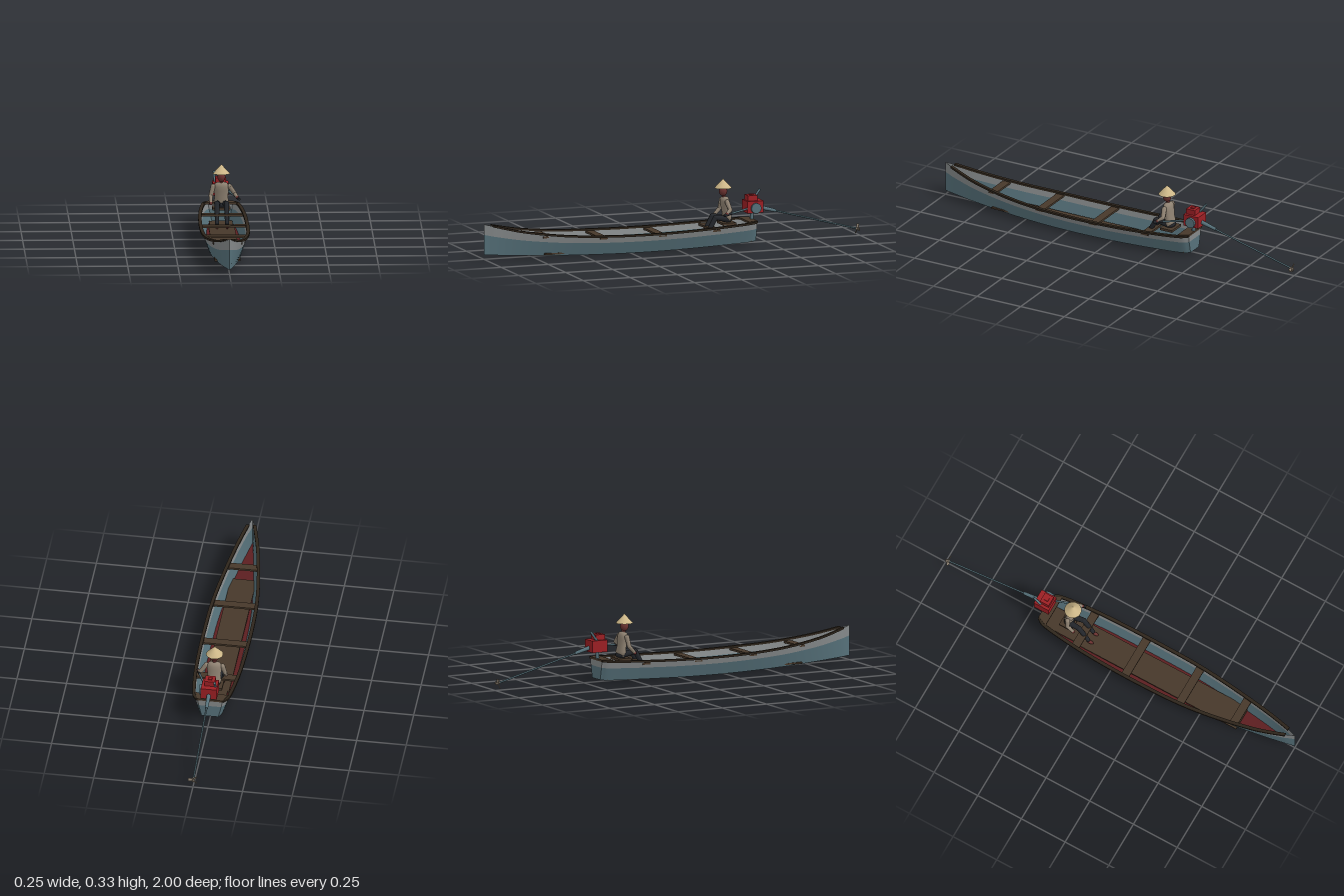
import * as THREE from 'three';

const mat = (name, color, side = THREE.FrontSide) => {
  const m = new THREE.MeshStandardMaterial({ color, side });
  m.name = name;
  return m;
};
const V = (x, y, z) => new THREE.Vector3(x, y, z);

export function createModel() {
  const D = THREE.DoubleSide;
  const steelBlue = mat('steelBlue', 0x56717a, D);
  const paleGrey = mat('paleGrey', 0x85898a, D);
  const bottomRed = mat('bottomRed', 0x5c1e20, D);
  const engineRed = mat('engineRed', 0x9c1f24);
  const wood = mat('wood', 0x47382a);
  const darkWood = mat('darkWood', 0x2e251b, D);
  const skin = mat('skin', 0x6a3230);
  const taupe = mat('taupe', 0x8f8272, D);
  const charcoal = mat('charcoal', 0x23262b);
  const straw = mat('straw', 0xcdb788, D);

  const model = new THREE.Group();
  model.name = 'longTailBoat';
  const group = (name) => {
    const g = new THREE.Group();
    g.name = name;
    model.add(g);
    return g;
  };
  const add = (parent, name, geo, material, x = 0, y = 0, z = 0) => {
    const m = new THREE.Mesh(geo, material);
    m.name = name;
    m.position.set(x, y, z);
    parent.add(m);
    return m;
  };
  const box = (parent, name, w, h, d, material, x, y, z) =>
    add(parent, name, new THREE.BoxGeometry(w, h, d), material, x, y, z);
  // tapered round bar from a to b
  const rod = (parent, name, a, b, ra, rb, material, sides = 12) => {
    const dir = b.clone().sub(a);
    const m = add(parent, name, new THREE.CylinderGeometry(rb, ra, dir.length(), sides), material);
    m.position.copy(a).add(b).multiplyScalar(0.5);
    m.quaternion.setFromUnitVectors(V(0, 1, 0), dir.normalize());
    return m;
  };
  const ball = (parent, name, r, p, material, sx = 1, sy = 1, sz = 1) =>
    add(parent, name, new THREE.SphereGeometry(r, 16, 12), material, p.x, p.y, p.z).scale.set(sx, sy, sz);
  // ruled surface between two rows of points
  const strip = (parent, name, a, b, material) => {
    const pos = [], idx = [];
    a.forEach((p, i) => {
      pos.push(...p.toArray(), ...b[i].toArray());
      if (i) {
        const k = 2 * i;
        idx.push(k - 2, k, k - 1, k - 1, k, k + 1);
      }
    });
    const g = new THREE.BufferGeometry();
    g.setAttribute('position', new THREE.Float32BufferAttribute(pos, 3));
    g.setIndex(idx);
    g.computeVertexNormals();
    return add(parent, name, g, material);
  };

  // Hull stations: z, top half width, bottom half width, top y, bottom y
  const stations = [
    [-0.43, 0.062, 0.042, 0.113, 0.016], [-0.38, 0.086, 0.06, 0.11, 0.013],
    [-0.2, 0.106, 0.076, 0.102, 0.008], [0, 0.114, 0.083, 0.095, 0.003],
    [0.2, 0.115, 0.084, 0.093, 0.001], [0.4, 0.109, 0.079, 0.097, 0.003],
    [0.6, 0.088, 0.062, 0.108, 0.007], [0.8, 0.055, 0.036, 0.133, 0.014],
    [0.94, 0.02, 0.012, 0.163, 0.02], [1, 0.0005, 0.0005, 0.178, 0.024]];
  const edge = (w, h) => new THREE.CatmullRomCurve3(
    stations.map((s) => V(s[w], s[h], s[0])), false, 'catmullrom').getPoints(54);
  const top = edge(1, 3), bottom = edge(2, 4);
  const mid = bottom.map((p, i) => p.clone().lerp(top[i], 0.65).add(V(i < 50 ? 0.002 : 0, 0, 0)));
  const flip = (row, s) => row.map((p) => V(p.x * s, p.y, p.z));

  const hull = group('hull');
  for (const s of [1, -1]) {
    strip(hull, 'lowerSide', flip(bottom, s), flip(mid, s), steelBlue);
    strip(hull, 'upperSide', flip(mid, s), flip(top, s), paleGrey);
    // gunwale: rectangular section swept along the top edge
    const rail = top.filter((p) => p.z < 0.955);
    const corners = [[-0.007, -0.004], [0.01, -0.004], [0.01, 0.006], [-0.007, 0.006]].map(
      ([dx, dy]) => rail.map((p) => V(s * Math.max(p.x + dx, 0.002), p.y + dy, p.z)));
    corners.forEach((c, i) => strip(hull, 'gunwale', c, corners[(i + 1) % 4], darkWood));
    for (const k of [0, rail.length - 1]) {
      strip(hull, 'gunwaleEnd', [corners[0][k], corners[3][k]], [corners[1][k], corners[2][k]], darkWood);
    }
  }
  strip(hull, 'bottom', flip(bottom, -1), bottom, bottomRed);
  const end = (a, b) => [flip([a[0], b[0]], -1), [a[0], b[0]]];
  strip(hull, 'transomLower', ...end(bottom, mid), steelBlue);
  strip(hull, 'transomUpper', ...end(mid, top), paleGrey);

  // Floor boards, thwarts and stern deck
  const fittings = group('fittings');
  box(fittings, 'floor', 0.13, 0.008, 0.92, wood, 0, 0.018, 0.24);
  box(fittings, 'sternFloor', 0.116, 0.008, 0.18, wood, 0, 0.02, -0.31);
  for (const [z, w, y] of [[0.69, 0.148, 0.106], [0.4, 0.216, 0.088], [0.09, 0.226, 0.084], [-0.2, 0.21, 0.09]]) {
    box(fittings, 'thwart', w, 0.01, 0.042, wood, 0, y, z);
  }
  const deck = new THREE.Shape([[-0.085, 0.38], [0.085, 0.38], [0.062, 0.432], [-0.062, 0.432]]
    .map(([x, y]) => new THREE.Vector2(x, y)));
  add(fittings, 'sternDeck', new THREE.ExtrudeGeometry(deck, { depth: 0.01, bevelEnabled: false }),
    wood, 0, 0.11, 0).rotation.x = -Math.PI / 2;
  box(fittings, 'helmSeat', 0.09, 0.012, 0.07, wood, 0, 0.108, -0.29);

  // Engine with its long propeller shaft
  const engine = group('engine');
  box(engine, 'engineBlock', 0.08, 0.06, 0.085, engineRed, 0, 0.185, -0.43);
  box(engine, 'fuelTank', 0.052, 0.028, 0.05, engineRed, 0, 0.228, -0.42);
  box(engine, 'tankCap', 0.02, 0.006, 0.02, engineRed, 0, 0.244, -0.42);
  rod(engine, 'mount', V(0, 0.11, -0.422), V(0, 0.16, -0.425), 0.009, 0.009, steelBlue);
  rod(engine, 'flywheel', V(0.038, 0.18, -0.43), V(0.052, 0.18, -0.43), 0.026, 0.026, steelBlue, 20);
  rod(engine, 'exhaust', V(-0.028, 0.205, -0.435), V(-0.031, 0.262, -0.478), 0.006, 0.006, steelBlue);
  rod(engine, 'shaftHousing', V(0, 0.178, -0.46), V(0, 0.154, -0.55), 0.011, 0.008, steelBlue);
  rod(engine, 'shaft', V(0, 0.156, -0.54), V(0, 0.036, -0.988), 0.0045, 0.0045, steelBlue);
  rod(engine, 'tiller', V(0.03, 0.18, -0.4), V(0.078, 0.165, -0.275), 0.005, 0.005, steelBlue);
  rod(engine, 'tillerGrip', V(0.072, 0.167, -0.29), V(0.088, 0.16, -0.245), 0.007, 0.007, charcoal);

  const propeller = group('propeller');
  propeller.position.set(0, 0.036, -0.986);
  propeller.rotation.x = -0.26;
  rod(propeller, 'hub', V(0, 0, 0.01), V(0, 0, -0.01), 0.006, 0.006, taupe);
  for (let i = 0; i < 3; i++) {
    const spoke = new THREE.Group();
    spoke.name = 'blade';
    spoke.rotation.z = -Math.PI / 2 + i * Math.PI * 2 / 3;
    propeller.add(spoke);
    box(spoke, 'bladePlate', 0.014, 0.024, 0.003, taupe, 0, 0.015, 0).rotation.y = 0.6;
  }

  // Seated helmsman
  const person = group('helmsman');
  const profile = [[0, 0.115], [0.032, 0.118], [0.037, 0.14], [0.033, 0.165], [0.037, 0.2],
    [0.037, 0.22], [0.03, 0.235], [0.012, 0.241], [0, 0.241]].map((p) => new THREE.Vector2(...p));
  const torso = add(person, 'shirt', new THREE.LatheGeometry(profile, 20), taupe, 0, 0.004, -0.31);
  torso.scale.z = 0.6;
  torso.rotation.x = 0.14;
  rod(person, 'neck', V(0, 0.235, -0.277), V(0, 0.256, -0.273), 0.01, 0.01, skin);
  ball(person, 'head', 0.02, V(0, 0.27, -0.271), skin, 1, 1.25, 1.08);
  add(person, 'hat', new THREE.ConeGeometry(0.043, 0.047, 24, 1, true), straw, 0, 0.3095, -0.271);
  ball(person, 'hips', 0.034, V(0, 0.127, -0.29), charcoal, 1, 0.5, 0.8);

  const arm = (shoulder, elbow, hand) => {
    ball(person, 'shoulder', 0.0125, shoulder, taupe);
    rod(person, 'upperArm', shoulder, elbow, 0.0125, 0.0105, taupe);
    ball(person, 'elbow', 0.0105, elbow, taupe);
    rod(person, 'forearm', elbow, hand, 0.0105, 0.008, taupe);
    ball(person, 'hand', 0.009, hand, skin);
  };
  arm(V(0.041, 0.22, -0.278), V(0.066, 0.184, -0.285), V(0.08, 0.165, -0.262));
  arm(V(-0.041, 0.22, -0.278), V(-0.053, 0.175, -0.272), V(-0.053, 0.14, -0.24));

  for (const s of [1, -1]) {
    const hip = V(s * 0.018, 0.13, -0.29), knee = V(s * 0.024, 0.142, -0.222), ankle = V(s * 0.025, 0.045, -0.168);
    rod(person, 'thigh', hip, knee, 0.016, 0.013, charcoal);
    ball(person, 'knee', 0.0135, knee, charcoal);
    rod(person, 'shin', knee, ankle, 0.013, 0.01, charcoal);
    ball(person, 'foot', 0.01, V(s * 0.025, 0.034, -0.158), skin, 0.9, 0.8, 1.9);
  }
  return model;
}
